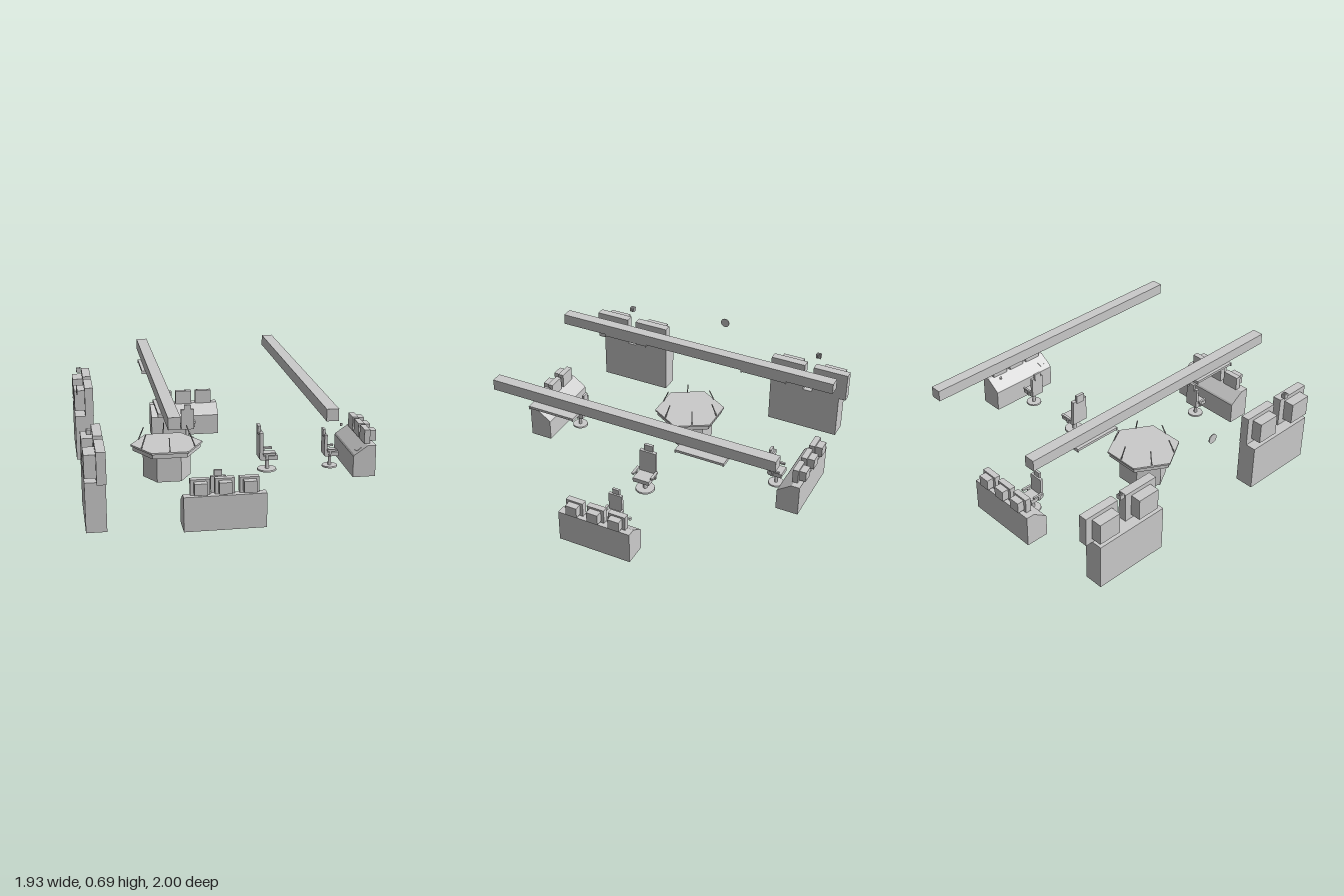
import * as THREE from 'three';

const mat = new THREE.MeshStandardMaterial({ color: 0xcccccc, flatShading: true });
const smooth = new THREE.MeshStandardMaterial({ color: 0xcccccc });

function add(parent, name, geo, x = 0, y = 0, z = 0, material = mat) {
  const m = new THREE.Mesh(geo, material);
  m.name = name;
  m.position.set(x, y, z);
  parent.add(m);
  return m;
}

// Box given by its min and max on each axis
function box(parent, name, x0, x1, y0, y1, z0, z1) {
  return add(parent, name, new THREE.BoxGeometry(x1 - x0, y1 - y0, z1 - z0),
    (x0 + x1) / 2, (y0 + y1) / 2, (z0 + z1) / 2);
}

function group(parent, name, x, y, z, rotY = 0) {
  const g = new THREE.Group();
  g.name = name;
  g.position.set(x, y, z);
  g.rotation.y = rotY;
  parent.add(g);
  return g;
}

// Bulky display: wide bezel towards -z, narrower housing towards +z
function monitor(parent, x, y, z, w, h, d, bw, bh, bd) {
  const g = group(parent, 'monitor', x, y, z);
  box(g, 'monitorBezel', -w / 2, w / 2, 0, h, -d, 0);
  box(g, 'monitorHousing', -bw / 2, bw / 2, (h - bh) / 2, (h + bh) / 2, 0, bd);
}

// Sloped console; the user sits on the -z side, outer face at z = 0
function desk(parent, x, z, rotY) {
  const g = group(parent, 'consoleDesk', x, 0, z, rotY);
  const profile = new THREE.Shape([[-0.15, 0], [0, 0], [0, 0.212], [-0.055, 0.212], [-0.142, 0.152], [-0.15, 0.142]]
    .map(([a, b]) => new THREE.Vector2(a, b)));
  const geo = new THREE.ExtrudeGeometry(profile, { depth: 0.487, bevelEnabled: false });
  geo.translate(0, 0, -0.2435).rotateY(-Math.PI / 2);
  add(g, 'deskBody', geo);
  for (const i of [-1, 0, 1]) monitor(g, i * 0.144, 0.212, -0.03, 0.115, 0.094, 0.038, 0.075, 0.07, 0.045);
  return g;
}

// Swivel chair facing +z; s scales the plan, top is the headrest height
function chair(parent, name, x, z, rotY, s, top) {
  const g = group(parent, name, x, 0, z, rotY);
  add(g, 'chairBase', new THREE.CylinderGeometry(0.05 * s, 0.052 * s, 0.01, 24), 0, 0.005, 0, smooth);
  add(g, 'chairStem', new THREE.CylinderGeometry(0.011 * s, 0.011 * s, 0.075, 16), 0, 0.0475, 0, smooth);
  box(g, 'seat', -0.046 * s, 0.046 * s, 0.083, 0.112, -0.042 * s, 0.05 * s);
  const shoulder = top - 0.035 * s;
  box(g, 'backrest', -0.046 * s, 0.046 * s, 0.09, shoulder, -0.048 * s, -0.028 * s);
  box(g, 'headrest', -0.024 * s, 0.024 * s, shoulder - 0.015, top, -0.054 * s, -0.038 * s);
  for (const side of [-1, 1]) {
    const cx = side * 0.054 * s, hw = 0.007 * s;
    box(g, 'armrest', cx - hw, cx + hw, 0.122, 0.135, -0.03 * s, 0.036 * s);
    box(g, 'armSupport', cx - hw * 0.6, cx + hw * 0.6, 0.09, 0.122, -0.018 * s, -0.004 * s);
    box(g, 'armBracket', Math.min(cx, side * 0.04 * s), Math.max(cx, side * 0.04 * s), 0.09, 0.1, -0.018 * s, -0.004 * s);
  }
}

// Six-sided table with a corner on each end of x
function table(parent) {
  const g = group(parent, 'hexagonalTable', -0.396, 0, 0);
  const hex = (name, rTop, rBottom, y0, y1) => add(g, name,
    new THREE.CylinderGeometry(rTop, rBottom, y1 - y0, 6, 1, false, Math.PI / 2), 0, (y0 + y1) / 2, 0);
  hex('tableTop', 0.236, 0.236, 0.21, 0.222);
  hex('tableRim', 0.223, 0.223, 0.18, 0.21);
  hex('tablePedestal', 0.157, 0.157, 0, 0.18);
  // Thin rods leaning inward from the middle of each edge
  for (let i = 0; i < 6; i++) {
    const spoke = group(g, 'tableRod', 0, 0, 0, Math.PI / 6 + i * Math.PI / 3);
    const rod = add(spoke, 'rod', new THREE.BoxGeometry(0.006, 0.097, 0.006), 0.183, 0.263, 0);
    rod.rotation.z = Math.atan2(0.038, 0.088);
  }
}

// Wall cabinet with two large displays and a small slatted unit above
function cabinet(parent, side) {
  const g = group(parent, 'wallCabinet', 0, 0, 0);
  const span = (a, b) => (side > 0 ? [a, b] : [-b, -a]);
  box(g, 'cabinetBody', -0.967, -0.845, 0, 0.305, ...span(0.407, 0.907));
  for (const z of [0.528, 0.834]) {
    const holder = group(g, 'wallDisplay', -0.899, 0.305, side * z, -Math.PI / 2);
    monitor(holder, 0, 0, 0, 0.243, 0.195, 0.056, 0.152, 0.14, 0.068);
  }
  const unit = group(g, 'slattedUnit', -0.925, 0.55, side * 0.715);
  box(unit, 'unitBack', -0.015, -0.009, -0.015, 0.015, -0.016, 0.016);
  for (let i = 0; i < 4; i++) {
    const z = -0.014 + i * 0.0093;
    box(unit, 'unitSlat', -0.015, 0.015, -0.015, 0.015, z - 0.0025, z + 0.0025);
  }
}

// Overhead beam with two light panels under it
function beam(parent, x, halfLength, panelX) {
  const g = group(parent, 'overheadBeam', 0, 0, 0);
  box(g, 'beam', x - 0.036, x + 0.036, 0.62, 0.692, -halfLength, halfLength);
  for (const z of [-0.508, 0.508]) {
    box(g, 'lightPanel', panelX - 0.044, panelX + 0.044, 0.604, 0.62, z - 0.152, z + 0.152);
    for (const s of [-1, 1]) {
      const e = z + s * 0.155;
      box(g, 'panelEnd', panelX - 0.046, panelX + 0.046, 0.598, 0.62, e - 0.003, e + 0.003);
    }
  }
}

export function createModel() {
  const model = new THREE.Group();
  model.name = 'controlRoom';

  beam(model, -0.458, 0.985, -0.471);
  beam(model, 0.457, 0.965, 0.51);
  table(model);

  // Consoles at the front, back and left side
  desk(model, -0.167, 0.985, 0);
  desk(model, -0.167, -0.985, Math.PI);
  const sideDesk = desk(model, 0.946, 0, Math.PI / 2);

  // Small items on the side console
  add(sideDesk, 'cup', new THREE.CylinderGeometry(0.009, 0.009, 0.016, 12), 0.185, 0.228, -0.122, smooth);
  const pad = add(sideDesk, 'notePad', new THREE.BoxGeometry(0.045, 0.004, 0.035), -0.19, 0.177, -0.108);
  pad.rotation.set(-Math.atan2(0.06, 0.087), 0.2, 0);

  // Seats
  chair(model, 'mainChair', 0.272, 0, Math.PI / 2, 1.25, 0.315);
  chair(model, 'sideChair', 0.7, 0, Math.PI / 2, 1, 0.267);
  chair(model, 'frontChair', -0.167, 0.74, 0, 1, 0.267);
  chair(model, 'backChair', -0.167, -0.74, Math.PI, 1, 0.267);

  for (const side of [-1, 1]) cabinet(model, side);

  // Round plate high on the wall
  const disc = add(model, 'wallDisc', new THREE.CylinderGeometry(0.031, 0.031, 0.006, 32), -0.962, 0.602, 0, smooth);
  disc.rotation.z = Math.PI / 2;

  return model;
}
